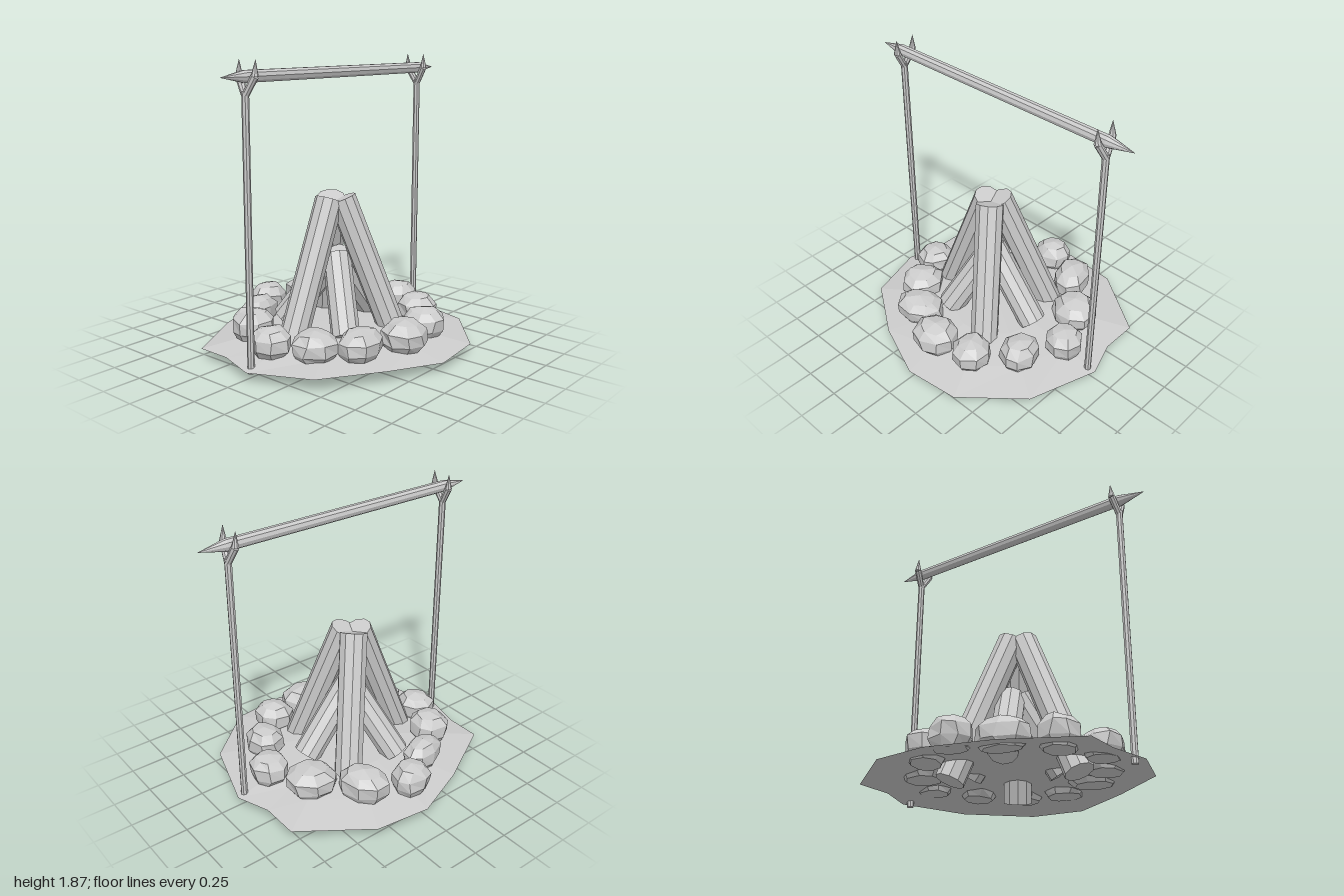
import * as THREE from 'three';

const mat = new THREE.MeshStandardMaterial({ color: 0xcccccc, flatShading: true });
const groundMat = new THREE.MeshStandardMaterial({ color: 0xcccccc, flatShading: true, side: THREE.DoubleSide });
const V = (p) => new THREE.Vector3(...p);

// Straight round bar from point a to point b
function bar(name, a, b, rA, rB, sides) {
  const from = V(a), to = V(b), dir = to.clone().sub(from);
  const mesh = new THREE.Mesh(new THREE.CylinderGeometry(rB, rA, dir.length(), sides), mat);
  mesh.position.copy(from).add(to).multiplyScalar(0.5);
  mesh.quaternion.setFromUnitVectors(new THREE.Vector3(0, 1, 0), dir.normalize());
  mesh.name = name;
  return mesh;
}

// Small repeatable noise in the range -1..1
function noise(seed) {
  const s = Math.sin(seed * 127.1 + 11.7) * 43758.5453;
  return (s - Math.floor(s)) * 2 - 1;
}

// Faceted boulder: flat-bottomed low-poly sphere with uneven vertices
function stone(x, z, rx, rz, turn, top, index) {
  const cols = 8, rows = 5;
  const geo = new THREE.SphereGeometry(1, cols, rows);
  const pos = geo.attributes.position;
  for (let i = 0; i < pos.count; i++) {
    const row = Math.floor(i / (cols + 1)), col = (i % (cols + 1)) % cols;
    const pole = row === 0 || row === rows;
    const k = index * 61 + row * 9 + (pole ? 0 : col);
    const a = (col / cols) * Math.PI * 2 + (pole ? 0 : noise(k) * 0.13);
    const r = [0, 0.64, 0.98, 0.98, 0.74, 0][row] * (1 + noise(k + 0.5) * 0.05);
    const y = [1, 0.8, 0.3, -0.45, -0.96, -1][row] + (pole ? 0 : noise(k + 0.3) * [0, 0.08, 0.08, 0.06, 0.02][row]);
    pos.setXYZ(i, -Math.cos(a) * r, y, Math.sin(a) * r);
  }
  geo.computeVertexNormals();
  const mesh = new THREE.Mesh(geo, mat);
  const bottom = 0.088;
  mesh.scale.set(rx, (top - bottom) / 2, rz);
  mesh.position.set(x, (top + bottom) / 2, z);
  mesh.rotation.y = turn;
  mesh.name = 'stone' + (index + 1);
  return mesh;
}

// Thin irregular mound that rises toward the middle
function ground() {
  const rim = [
    [0, 0.06, -0.83], [0.37, 0.07, -0.79], [0.8, 0.07, -0.48], [0.8, 0.07, -0.23], [0.875, 0.06, 0],
    [0.73, 0.07, 0.47], [0.37, 0.065, 0.785], [0, 0.06, 0.825], [-0.37, 0.085, 0.685], [-0.74, 0.085, 0.44],
    [-0.88, 0.06, 0.03], [-0.81, 0.07, -0.22], [-0.81, 0.07, -0.45], [-0.37, 0.07, -0.69],
  ];
  const n = rim.length, verts = [0, 0.155, 0], index = [];
  for (const [scale, y] of [[0.4, 0.145], [0.72, 0.112]]) {
    for (const [x, , z] of rim) verts.push(x * scale, y, z * scale);
  }
  for (const p of rim) verts.push(...p);
  for (let i = 0; i < n; i++) {
    const j = (i + 1) % n;
    index.push(0, 1 + j, 1 + i);
    for (let ring = 0; ring < 2; ring++) {
      const a = 1 + ring * n + i, b = 1 + ring * n + j;
      index.push(a, b, b + n, a, b + n, a + n);
    }
  }
  const geo = new THREE.BufferGeometry();
  geo.setAttribute('position', new THREE.Float32BufferAttribute(verts, 3));
  geo.setIndex(index);
  geo.computeVertexNormals();
  const mesh = new THREE.Mesh(geo, groundMat);
  mesh.name = 'ground';
  return mesh;
}

const spitZ = 0.01;

// Upright with a two-pronged fork, side is +1 or -1 in x
function forkedPost(side) {
  const g = new THREE.Group();
  g.name = side > 0 ? 'leftPost' : 'rightPost';
  const x = side * 0.82, xTip = side * 0.8;
  g.add(bar('postShaft', [x, 0.035, spitZ], [x, 1.7, spitZ], 0.022, 0.022, 8));
  for (const s of [-1, 1]) {
    const elbow = [side * 0.805, 1.78, spitZ + s * 0.063];
    g.add(bar('prong', [x, 1.68, spitZ + s * 0.005], elbow, 0.021, 0.023, 8));
    g.add(bar('prongTip', elbow, [xTip, 1.872, spitZ + s * 0.066], 0.023, 0.001, 8));
  }
  return g;
}

export function createModel() {
  const model = new THREE.Group();
  model.name = 'campfire';
  model.add(ground());

  // Ring of stones: x, z, radius x, radius z, turn, top height
  const stones = [
    [-0.03, -0.635, 0.135, 0.12, 0.1, 0.29], [0.255, -0.505, 0.125, 0.175, 0.5, 0.3],
    [0.48, -0.26, 0.165, 0.15, -0.4, 0.285], [0.62, 0.015, 0.125, 0.13, 0.2, 0.28],
    [0.475, 0.29, 0.125, 0.14, 0, 0.28], [0.25, 0.505, 0.13, 0.135, 0.3, 0.285],
    [-0.03, 0.555, 0.155, 0.145, 0, 0.285], [-0.315, 0.435, 0.175, 0.13, 0.2, 0.275],
    [-0.51, 0.235, 0.145, 0.15, 0.3, 0.27], [-0.635, -0.01, 0.13, 0.135, 0, 0.275],
    [-0.515, -0.285, 0.13, 0.14, 0.2, 0.3], [-0.27, -0.48, 0.165, 0.1, 0.25, 0.285],
  ];
  const ring = new THREE.Group();
  ring.name = 'stoneRing';
  stones.forEach((s, i) => ring.add(stone(...s, i)));
  model.add(ring);

  // Three tall logs and three short ones leaning inward: foot, head
  const logs = [
    ['tallLog', [-0.475, 0.045, -0.01], [-0.09, 0.975, -0.01]],
    ['tallLog', [0.19, 0.035, 0.33], [-0.025, 0.98, 0.04]],
    ['tallLog', [0.23, 0.035, -0.315], [-0.03, 0.98, -0.045]],
    ['shortLog', [0.33, 0.16, 0], [-0.04, 0.6, 0]],
    ['shortLog', [-0.215, 0.14, 0.235], [-0.03, 0.6, 0]],
    ['shortLog', [-0.165, 0.14, -0.33], [-0.01, 0.59, -0.03]],
  ];
  const pile = new THREE.Group();
  pile.name = 'logPile';
  for (const [name, foot, head] of logs) pile.add(bar(name, foot, head, 0.092, 0.092, 10));
  model.add(pile);

  // Spit resting in the forks, sharpened at both ends
  const spit = new THREE.Group();
  spit.name = 'spit';
  spit.add(bar('spitShaft', [-0.83, 1.78, spitZ], [0.83, 1.78, spitZ], 0.037, 0.037, 10));
  for (const s of [-1, 1]) spit.add(bar('spitPoint', [s * 0.83, 1.78, spitZ], [s, 1.78, spitZ], 0.037, 0.001, 10));
  model.add(spit, forkedPost(1), forkedPost(-1));
  return model;
}
